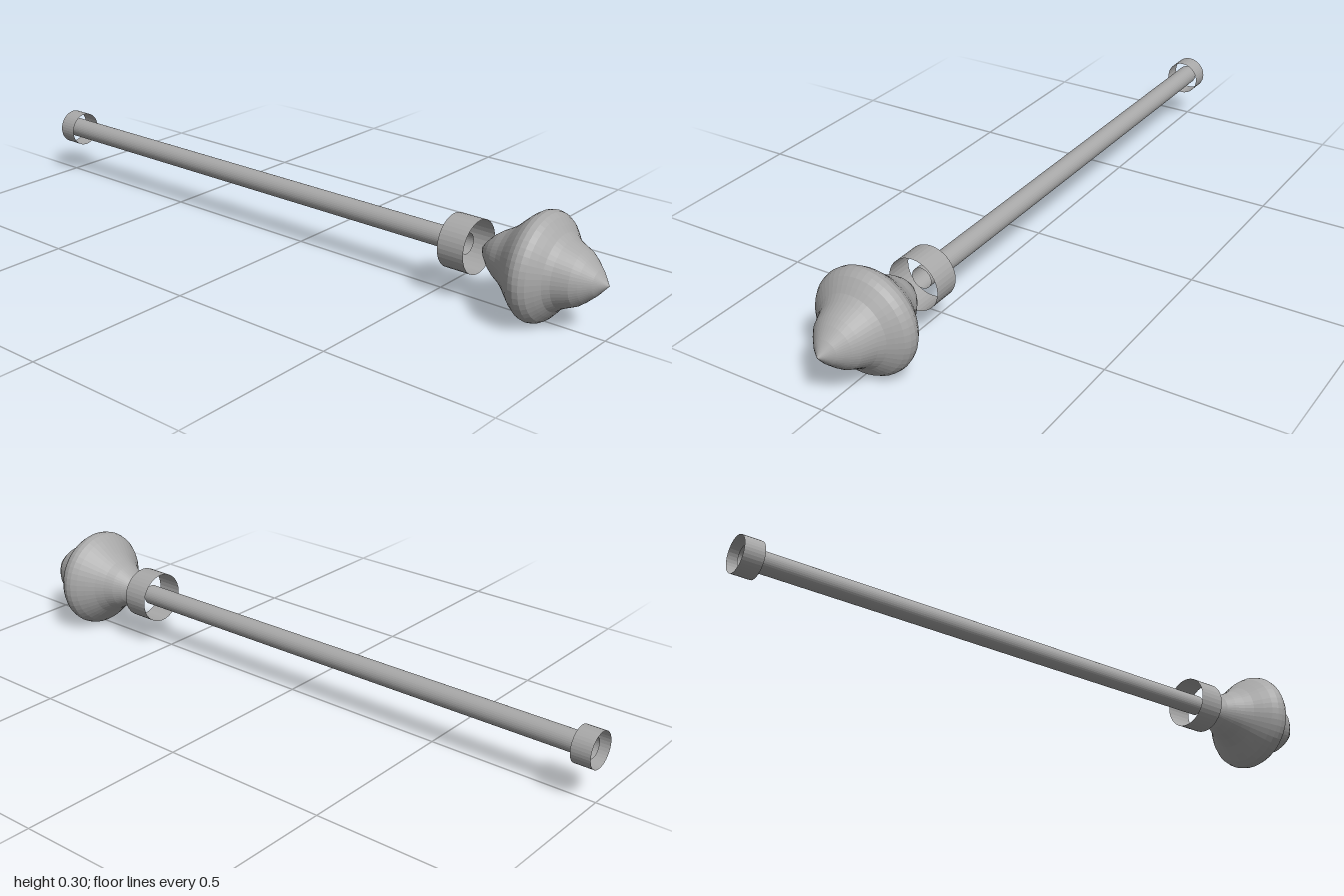
import * as THREE from 'three';

const AXIS_Y = 0.15; // height of the rod's centre line

export function createModel() {
  const group = new THREE.Group();
  const metal = new THREE.MeshStandardMaterial({
    name: 'grey metal', color: 0xa8a8a8, side: THREE.DoubleSide, flatShading: true,
  });

  function add(name, geometry) {
    geometry.rotateX(Math.PI / 2); // local y becomes z
    const mesh = new THREE.Mesh(geometry, metal);
    mesh.name = name;
    mesh.position.y = AXIS_Y;
    group.add(mesh);
  }

  // Open-ended tube along z
  function tube(name, radius, z0, z1) {
    const g = new THREE.CylinderGeometry(radius, radius, z1 - z0, 36, 1, true);
    g.translate(0, (z0 + z1) / 2, 0);
    add(name, g);
  }

  tube('rod', 0.03, -0.98, 0.58);
  tube('frontCollar', 0.076, 0.535, 0.617);
  tube('backCollar', 0.052, -1, -0.942);

  // Finial: pointed at both ends, with a rounded waist and flared shoulders
  const profile = [
    [0, 0.625], [0.027, 0.645], [0.05, 0.668], [0.066, 0.69], [0.08, 0.715],
    [0.097, 0.738], [0.118, 0.76], [0.136, 0.78], [0.147, 0.797], [0.15, 0.811],
    [0.147, 0.826], [0.138, 0.84], [0.121, 0.855], [0.105, 0.868], [0.092, 0.885],
    [0.083, 0.905], [0.074, 0.925], [0.06, 0.943], [0.035, 0.97], [0, 1],
  ].map(([r, z]) => new THREE.Vector2(r, z));
  add('finial', new THREE.LatheGeometry(profile, 48));

  return group;
}
